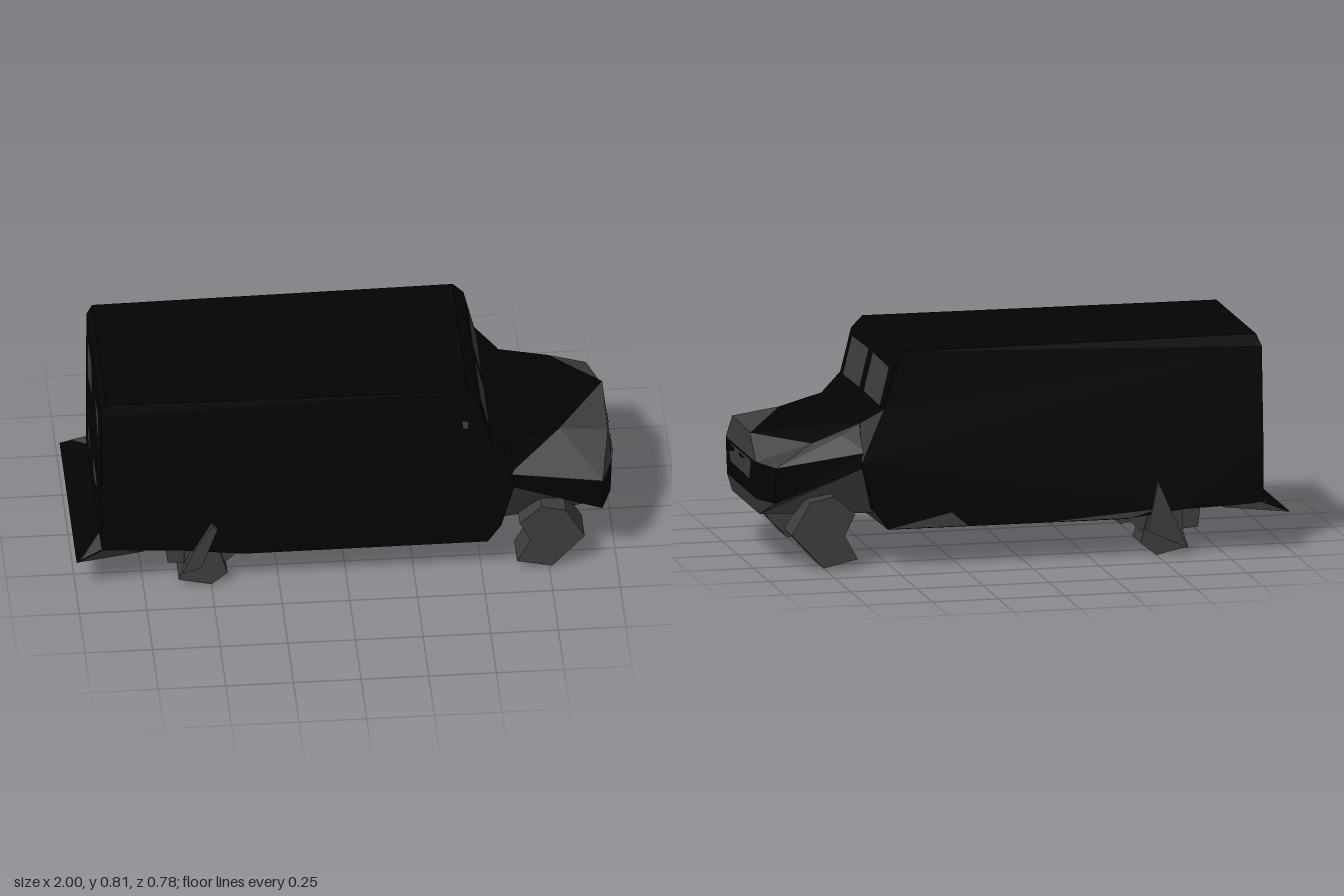
import * as THREE from 'three';

const black = new THREE.MeshStandardMaterial({ color: 0x030303, side: THREE.DoubleSide });
black.name = 'black paint';
const grey = new THREE.MeshStandardMaterial({ color: 0x3e3e3e, side: THREE.DoubleSide });
grey.name = 'dark grey';

// Flat facets, each polygon fanned into triangles that face away from an inner point
function facets(name, material, polygons, inner = [0, 0.4, 0]) {
  const core = new THREE.Vector3(...inner), out = [];
  for (const poly of polygons) {
    const p = poly.map((q) => new THREE.Vector3(...q));
    for (let i = 1; i < p.length - 1; i++) {
      const a = p[0];
      let b = p[i], c = p[i + 1];
      const n = b.clone().sub(a).cross(c.clone().sub(a));
      const mid = a.clone().add(b).add(c).divideScalar(3).sub(core);
      if (n.dot(mid) < 0) [b, c] = [c, b];
      for (const v of [a, b, c]) out.push(v.x, v.y, v.z);
    }
  }
  const geo = new THREE.BufferGeometry();
  geo.setAttribute('position', new THREE.Float32BufferAttribute(out, 3));
  geo.computeVertexNormals();
  const mesh = new THREE.Mesh(geo, material);
  mesh.name = name;
  return mesh;
}

// Side outline extruded across z from z0 to z1
function slab(name, material, outline, z0, z1) {
  const shape = new THREE.Shape(outline.map(([x, y]) => new THREE.Vector2(x, y)));
  const geo = new THREE.ExtrudeGeometry(shape, { depth: z1 - z0, bevelEnabled: false });
  geo.translate(0, 0, z0);
  const mesh = new THREE.Mesh(geo, material);
  mesh.name = name;
  return mesh;
}

const flip = ([x, y, z]) => [x, y, -z];
const both = (polys) => [...polys, ...polys.map((p) => p.map(flip))];

function createBody() {
  const group = new THREE.Group();
  group.name = 'bodyGroup';
  const body = slab('body', black, [
    [-0.905, 0.18], [-0.6, 0.175], [-0.38, 0.148], [0.52, 0.15], [0.57, 0.22], [0.62, 0.4],
    [0.61, 0.54], [0.53, 0.6], [0.49, 0.765], [0.45, 0.81], [-0.885, 0.81], [-0.905, 0.765], [-0.905, 0.4],
  ], -1, 1);
  // Sides lean in towards the roof and taper at the rear corners and the cowl
  const halfWidth = (x, y) => {
    if (x > 0.6 && y > 0.5) return 0.3;
    const w = y > 0.8 ? 0.34 : y > 0.7 ? 0.349 : y > 0.5 ? 0.354 : 0.375;
    return x < -0.85 ? w - 0.022 : w;
  };
  const pos = body.geometry.attributes.position;
  for (let i = 0; i < pos.count; i++) pos.setZ(i, pos.getZ(i) * halfWidth(pos.getX(i), pos.getY(i)));
  body.geometry.computeVertexNormals();
  group.add(body);
  // Worn patches along one sill
  group.add(facets('sillPatches', grey, [
    [[0.51, 0.153, -0.378], [0.28, 0.205, -0.378], [0.22, 0.153, -0.378]],
    [[-0.1, 0.152, -0.378], [-0.4, 0.152, -0.378], [-0.5, 0.18, -0.378]],
  ]));
  return group;
}

function createNose() {
  const nose = new THREE.Group();
  nose.name = 'nose';
  const inner = [0.72, 0.36, 0];
  const rear = [0.59, 0.545, 0.29], side = [0.6, 0.44, 0.363], arch = [0.61, 0.385, 0.365];
  const outer = [0.945, 0.4, 0.377], outerLow = [0.945, 0.265, 0.36];
  const inTop = [0.99, 0.4, 0.24], inLow = [0.985, 0.26, 0.24];
  const crease = [0.8, 0.514, 0.19], lipL = [0.98, 0.49, 0.18], lipR = [0.985, 0.488, -0.13];
  const panF = [0.97, 0.2, 0.22], panR = [0.53, 0.2, 0.3];
  const wingRear = [0.68, 0.5, -0.315], wingFront = [0.8, 0.478, -0.325];

  nose.add(facets('hood', black, [
    [rear, crease, lipR, flip(rear)],
    [rear, side, crease],
    [flip(rear), lipR, wingFront, wingRear],
    [flip(rear), wingRear, flip(side)],
    [wingRear, wingFront, flip(outer)],
    [wingFront, flip(inTop), lipR],
  ], inner));
  nose.add(facets('frontSlope', grey, [
    [crease, lipL, lipR],
    [side, outer, crease],
    [crease, outer, lipL],
    [lipL, outer, inTop],
    [lipL, inTop, flip(inTop), lipR],
    [wingFront, flip(outer), flip(inTop)],
    [flip(side), wingRear, flip(outer)],
  ], inner));
  nose.add(facets('bumperBand', black, [
    [inTop, flip(inTop), flip(inLow), inLow],
    ...both([[outer, inTop, inLow, outerLow], [side, outer, outerLow, arch]]),
  ], inner));
  nose.add(facets('wheelWells', grey, [
    ...both([[arch, outerLow, panF, panR], [outerLow, inLow, panF]]),
    [inLow, flip(inLow), flip(panF), panF],
    [panF, flip(panF), flip(panR), panR],
  ], inner));
  nose.add(facets('grille', grey, [
    [[0.995, 0.397, 0.13], [0.995, 0.397, -0.19], [0.994, 0.32, -0.16], [0.994, 0.325, 0.15], [0.994, 0.365, 0.185]],
  ], inner));
  nose.add(facets('grilleSlots', black, [
    [[0.998, 0.39, -0.01], [0.998, 0.39, -0.1], [0.998, 0.378, -0.06], [0.998, 0.378, -0.01]],
    [[0.998, 0.392, 0.17], [0.998, 0.392, 0.07], [0.998, 0.38, 0.07], [0.998, 0.362, 0.16]],
  ], inner));
  return nose;
}

function createWindows() {
  const group = new THREE.Group();
  group.name = 'windows';
  const glassX = (y) => 0.494 + ((0.765 - y) / 0.165) * 0.04;
  const pane = (y, z) => [glassX(y), y, z];
  group.add(facets('windshield', grey, both([
    [pane(0.745, 0.3), pane(0.75, 0.03), pane(0.604, 0.03), pane(0.6, 0.3)],
  ])));
  // Rear door panes: two above, two small ones below
  const r = (y, z) => [-0.909, y, z];
  group.add(facets('rearWindows', grey, [
    [r(0.73, -0.22), r(0.75, -0.06), r(0.71, -0.02), r(0.6, -0.03), r(0.55, -0.22)],
    [r(0.7, 0.05), r(0.72, 0.26), r(0.54, 0.26)],
    [r(0.38, -0.22), r(0.29, -0.02), r(0.28, -0.22)],
    [r(0.4, 0.02), r(0.37, 0.22), r(0.3, 0.1), r(0.29, 0.02)],
  ]));
  group.add(facets('sideMarker', grey, [
    [[0.425, 0.69, 0.357], [0.45, 0.685, 0.357], [0.45, 0.65, 0.359], [0.43, 0.655, 0.359]],
  ]));
  return group;
}

function createUnderbody() {
  const group = new THREE.Group();
  group.name = 'underbody';
  // Floor pan meeting the sills, with a shallow keel, rising to the rear
  const section = (x, y, keel, w = 0.37) => [[x, y, w], [x, y - keel * 0.4, 0.12], [x, y - keel, 0.02],
    [x, y - keel * 0.4, -0.08], [x, y, -w]];
  const stations = [section(-0.9, 0.179, 0.004, 0.35), section(-0.6, 0.174, 0.01), section(-0.38, 0.147, 0.008),
    section(0.1, 0.148, 0.023), section(0.52, 0.149, 0.01), section(0.57, 0.219, 0.01)];
  const floor = [];
  for (let s = 0; s < stations.length - 1; s++)
    for (let i = 0; i < 4; i++)
      floor.push([stations[s][i], stations[s + 1][i], stations[s + 1][i + 1], stations[s][i + 1]]);
  group.add(facets('floorPan', grey, floor));

  // Rear bumper wedge
  const tip = [-1, 0.147, 0.38], root = [-0.895, 0.187, 0.362], low = [-0.75, 0.173, 0.365];
  const inside = [-0.88, 0.172, 0];
  group.add(facets('rearBumper', black, [
    [tip, flip(tip), flip(root), root],
    ...both([[tip, root, low]]),
  ], inside));
  group.add(facets('rearBumperUnderside', grey, [[tip, flip(tip), flip(low), low]], [-0.85, 0.4, 0]));
  group.add(facets('undersidePatch', black, [
    [[-0.99, 0.144, 0.365], [-0.82, 0.161, 0.355], [-0.86, 0.157, 0.14], [-0.93, 0.15, 0.1]],
  ]));
  group.add(facets('bumperCorners', grey, [
    [[-0.985, 0.156, 0.375], [-0.9, 0.189, 0.358], [-0.907, 0.187, 0.25]],
    [[-0.96, 0.166, -0.37], [-0.9, 0.189, -0.358], [-0.907, 0.187, -0.31]],
  ], inside));
  return group;
}

function createWheels() {
  const wheels = new THREE.Group();
  wheels.name = 'wheels';
  const front = [[0.64, 0.21], [0.68, 0.13], [0.63, 0.04], [0.76, 0.012], [0.88, 0.14], [0.81, 0.26], [0.72, 0.28]];
  const rear = [[-0.6, 0.18], [-0.6, 0.09], [-0.62, 0.03], [-0.5, 0.003], [-0.44, 0.05], [-0.48, 0.19]];
  const arch = [[-0.67, 0.18], [-0.66, 0.1], [-0.55, 0.09], [-0.45, 0.09], [-0.38, 0.15], [-0.4, 0.17]];
  const slimFin = [[-0.61, 0.08], [-0.54, 0.1], [-0.48, 0.27], [-0.5, 0.29], [-0.57, 0.17]];
  const wideFin = [[-0.61, 0.03], [-0.46, 0.1], [-0.5, 0.285]];
  for (const s of [1, -1]) {
    const span = (a, b) => (s > 0 ? [a, b] : [-b, -a]);
    wheels.add(slab('frontWheel', grey, front, ...span(0.225, 0.355)));
    wheels.add(slab('rearWheel', grey, rear, ...span(0.225, 0.355)));
    wheels.add(slab('rearWheelArch', grey, arch, ...span(0.29, 0.34)));
    wheels.add(slab('rearWheelFin', grey, s > 0 ? slimFin : wideFin, ...span(0.355, 0.388)));
  }
  return wheels;
}

export function createModel() {
  const model = new THREE.Group();
  model.name = 'van';
  model.add(createBody(), createNose(), createWindows(), createUnderbody(), createWheels());
  return model;
}
